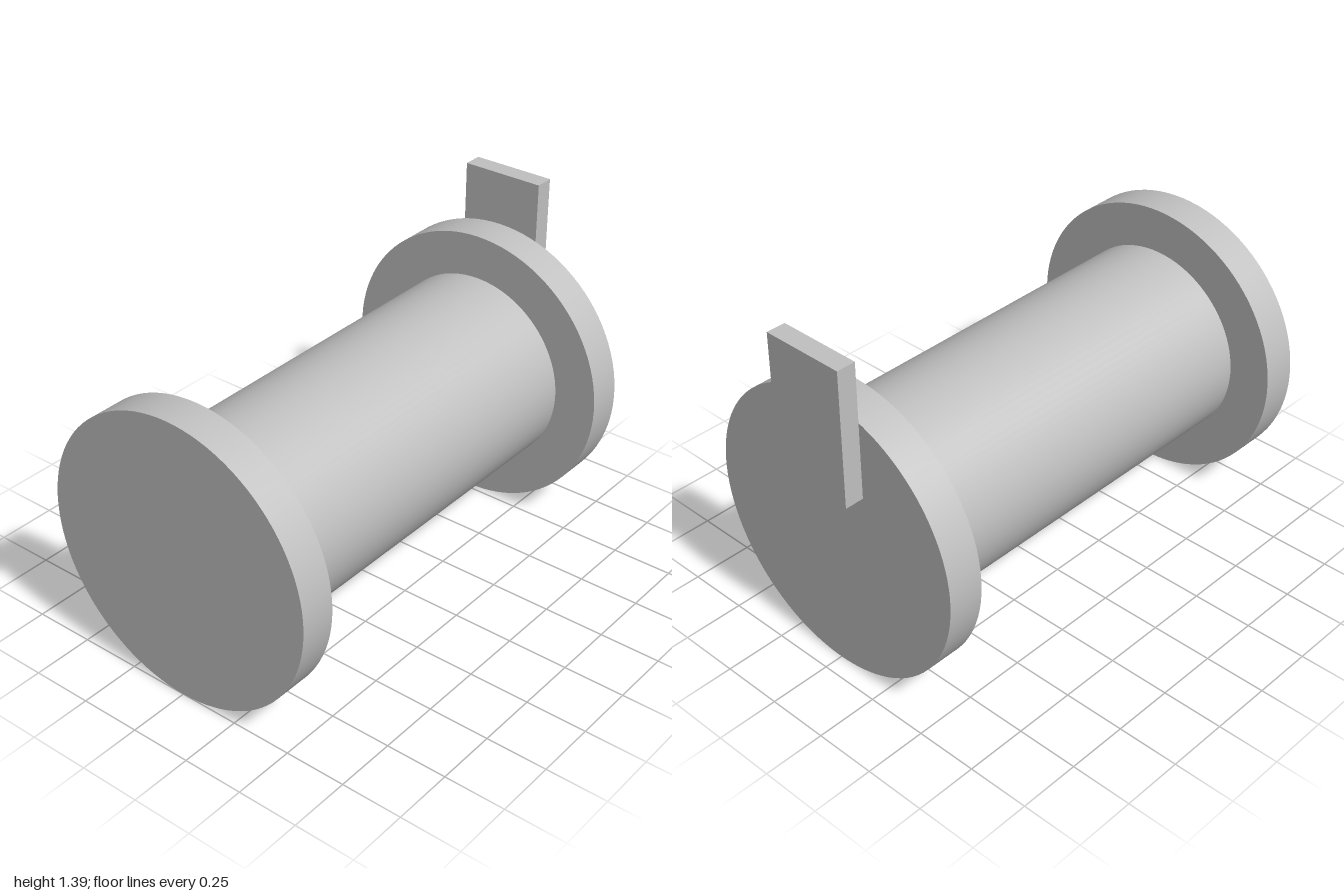
import * as THREE from 'three';

export function createModel() {
  const group = new THREE.Group();
  const grey = new THREE.MeshStandardMaterial({ color: 0xc0c0c0 });
  grey.name = 'light grey';
  const axisY = 0.586;

  function add(name, geometry, y, z) {
    const mesh = new THREE.Mesh(geometry, grey);
    mesh.name = name;
    mesh.position.set(0, y, z);
    group.add(mesh);
  }

  // Round part lying along z between two depths
  function disc(name, radius, zBack, zFront) {
    const geometry = new THREE.CylinderGeometry(radius, radius, zFront - zBack, 96);
    geometry.rotateX(Math.PI / 2);
    add(name, geometry, axisY, (zBack + zFront) / 2);
  }

  // Spool: barrel between two flanges
  disc('barrel', 0.404, -0.772, 0.85);
  disc('frontFlange', 0.586, 0.85, 1);
  disc('backFlange', 0.586, -0.922, -0.772);

  // Upright tab on the back flange
  add('mountingTab', new THREE.BoxGeometry(0.345, 0.558, 0.078), 1.11, -0.961);

  return group;
}
